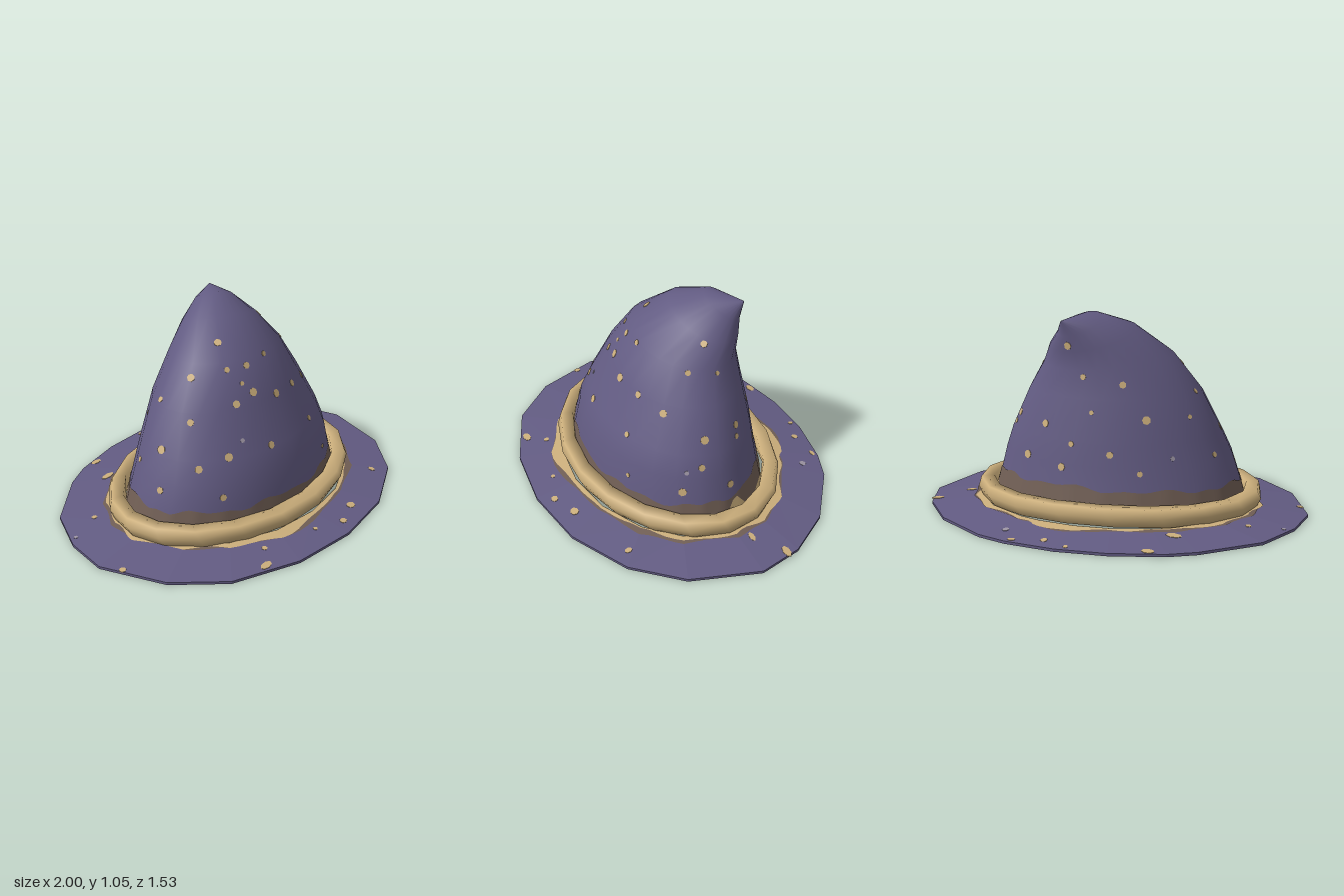
import * as THREE from 'three';

const mat = (name, color) => {
  const m = new THREE.MeshStandardMaterial({ color, side: THREE.DoubleSide });
  m.name = name;
  return m;
};

// Skin closed rows of points (each row is one loop of Vector3)
function loft(rows, flat) {
  const n = rows[0].length, index = [];
  for (let i = 0; i < rows.length - 1; i++) {
    for (let j = 0; j < n; j++) {
      const a = i * n + j, b = i * n + (j + 1) % n;
      index.push(a, a + n, b, b, a + n, b + n);
    }
  }
  let g = new THREE.BufferGeometry().setFromPoints(rows.flat());
  g.setIndex(index);
  if (flat) g = g.toNonIndexed();
  g.computeVertexNormals();
  return g;
}

const loop = (n, fn) => Array.from({ length: n }, (_, j) => fn(j, j / n * Math.PI * 2));

// Crown sections: y, centre x, centre z, radius x, radius z, lean towards the tip
const SECTIONS = [
  [0.07, -0.01, 0.015, 0.665, 0.455, 0],
  [0.2, -0.01, 0.015, 0.632, 0.43, 0],
  [0.32, -0.005, 0.015, 0.597, 0.41, 0],
  [0.43, 0, 0.002, 0.553, 0.381, 0],
  [0.64, 0, -0.03, 0.453, 0.31, 0],
  [0.81, 0.03, -0.065, 0.335, 0.25, 0.12],
  [0.93, 0.09, -0.153, 0.222, 0.162, 0.35],
  [1.0, 0.14, -0.23, 0.11, 0.085, 0.6],
  [1.025, 0.21, -0.316, 0.001, 0.001, 0],
];
const SEGS = 24;
function crownPoint(i, a) {
  const [y, cx, cz, rx, rz, lean] = SECTIONS[i];
  const dx = rx * Math.cos(a), dz = rz * Math.sin(a);
  return new THREE.Vector3(cx + dx, y - lean * (0.53 * dx - 0.85 * dz), cz + dz);
}

// Brim outline (x, z) around an oval opening
const OUTLINE = [
  [1, 0], [0.88, 0.35], [0.67, 0.57], [0.35, 0.72], [0, 0.765], [-0.35, 0.72], [-0.69, 0.57],
  [-0.89, 0.34], [-1, 0], [-0.95, -0.23], [-0.82, -0.46], [-0.54, -0.66], [-0.4, -0.72],
  [-0.13, -0.77], [0.13, -0.77], [0.39, -0.72], [0.54, -0.66], [0.8, -0.46], [0.95, -0.23],
];
// s = 0 at the opening, 1 at the outer edge
function brimPoint(k, s, yIn, yOut) {
  const corner = (i) => {
    const [x, z] = OUTLINE[i % OUTLINE.length];
    const a = Math.atan2(z / 0.77, x);
    return new THREE.Vector3(
      THREE.MathUtils.lerp(0.72 * Math.cos(a), x, s),
      THREE.MathUtils.lerp(yIn, yOut, s),
      THREE.MathUtils.lerp(0.54 * Math.sin(a), z, s));
  };
  const i = Math.floor(k);
  return corner(i).lerp(corner(i + 1), k - i);
}

export function createModel() {
  const purple = mat('purple cloth', 0x625b82);
  const gold = mat('gold', 0xcbae7b);
  const brown = mat('brown stain', 0x705e54);
  const pale = mat('pale fleck', 0x9c94a2);
  const hat = new THREE.Group();
  hat.name = 'hat';
  const add = (name, geometry, material) => {
    const m = new THREE.Mesh(geometry, material);
    m.name = name;
    hat.add(m);
    return m;
  };

  // Crown, leaning back to an off-centre tip
  const crown = add('crown', loft(SECTIONS.map((_, i) => loop(SEGS, (j, a) => crownPoint(i, a)))), purple);

  // Ragged stain around the foot of the crown, outside and inside
  const ragged = (a) => 0.5 + 0.5 * Math.sin(5 * a + 1) * Math.sin(3 * a) + 0.2 * Math.sin(17 * a);
  const stainPoint = (j, t, grow) => {
    const a0 = Math.floor(j / 4) / SEGS * Math.PI * 2, a1 = a0 + Math.PI * 2 / SEGS;
    const i = t < 1 ? 0 : 1;
    const edge = (n) => crownPoint(n, a0).lerp(crownPoint(n, a1), (j % 4) / 4);
    const p = edge(i).lerp(edge(i + 1), t - i);
    p.x *= grow;
    p.z *= grow;
    return p;
  };
  const stainTop = (a) => 0.74 + 0.28 * ragged(a) + 0.22 * Math.max(0, -Math.sin(a));
  const goldTop = (a) => 0.15 + 0.2 * ragged(a + 1) + 0.6 * Math.exp(-80 * (a - 6.1) ** 2);
  for (const [name, grow] of [['outer', 1.006], ['inner', 0.994]]) {
    const rows = [() => 0, () => 0.4, (a) => Math.min(1, stainTop(a)), stainTop];
    add(name + 'CrownStain', loft(rows.map((f) => loop(SEGS * 4, (j, a) => stainPoint(j, f(a), grow)))), brown);
    add(name + 'CrownGoldEdge', loft([() => 0, goldTop].map((f) =>
      loop(SEGS * 4, (j, a) => stainPoint(j, f(a), grow + (grow - 1) * 0.5)))), gold);
  }

  // Brim: thin ring, slightly raised at the opening
  const K = OUTLINE.length;
  const brimRows = [[0, 0.022, 0], [1, 0, 0.006], [1, 0, 0.02], [0, 0.055, 0], [0, 0.022, 0]];
  const brim = add('brim', loft(brimRows.map(([s, yi, yo]) =>
    loop(K, (j) => brimPoint(j, s, yi, yo))), true), purple);

  // Ragged gold and brown edging around the opening, above and below
  const trim = (name, from, to, yIn, yOut, material) => add(name, loft([from, to].map((f) =>
    loop(K * 5, (j, a) => brimPoint(j / 5, f(a), yIn, yOut)))), material);
  const goldEdge = (a) => 0.03 + Math.max(0, 0.13 * ragged(a)) + 0.2 * Math.abs(Math.sin(a)) ** 40;
  const brownEdge = (a) => goldEdge(a) + Math.max(0, 0.16 * ragged(a + 2) - 0.03);
  trim('brimGoldTop', () => 0, goldEdge, 0.058, 0.023, gold);
  trim('brimStainTop', goldEdge, brownEdge, 0.058, 0.023, brown);
  trim('brimGoldBottom', () => 0, goldEdge, 0.019, 0.003, gold);
  trim('brimStainBottom', goldEdge, brownEdge, 0.019, 0.003, brown);
  add('openingEdge', loft([0.019, 0.058].map((y) =>
    loop(K, (j) => brimPoint(j, -0.004, y, y)))), gold);

  // Broad band resting around the crown
  const profile = [[-0.03, 0.06], [0.025, 0.052], [0.047, 0.1], [0.032, 0.145], [-0.035, 0.145], [-0.03, 0.06]];
  add('band', loft(profile.map(([r, y], i) => loop(18, (j, a) => {
    const b = a + (i % 5) * 0.04;
    return new THREE.Vector3(-0.008 + (0.708 + r) * Math.cos(b), y + 0.004 * Math.sin(3 * b),
      0.005 + (0.495 + r) * Math.sin(b));
  }))), gold);

  // Painted flecks, dropped onto a surface along a direction
  const ray = new THREE.Raycaster();
  const up = new THREE.Vector3(0, 1, 0);
  const fleck = (target, origin, dir, i, stretch = 1) => {
    ray.set(origin, dir);
    const hit = ray.intersectObject(target)[0];
    if (!hit) return;
    const r = [0.02, 0.015, 0.018, 0.012, 0.022][i % 5];
    const m = add('fleck', new THREE.CylinderGeometry(r, r, 0.004, 7), i % 9 === 8 ? pale : gold);
    m.position.copy(hit.point);
    m.quaternion.setFromUnitVectors(up, hit.face.normal.clone().normalize());
    m.scale.x = stretch;
  };
  const V = (x, y, z) => new THREE.Vector3(x, y, z);
  const front = [[-0.15, 0.91], [-0.2, 0.81], [-0.1, 0.81], [-0.16, 0.74], [-0.12, 0.69], [-0.23, 0.66], [0.03, 0.83],
    [0.18, 0.63], [-0.27, 0.5], [-0.36, 0.44], [-0.13, 0.44], [0.22, 0.44], [-0.44, 0.26], [0.3, 0.25], [0.02, 0.64]];
  const side = [[0.2, 0.6], [0.06, 0.79], [-0.05, 0.9], [-0.08, 0.77], [0.06, 0.5], [-0.13, 0.51], [-0.12, 0.46],
    [0.1, 0.375], [0.17, 0.35], [0.2, 0.25], [-0.04, 0.25]];
  const back = [[0.18, 0.9], [0.1, 0.75], [-0.1, 0.72], [0.05, 0.58], [-0.22, 0.55], [0.3, 0.5],
    [0.15, 0.42], [-0.05, 0.38], [-0.35, 0.36], [0.4, 0.33], [0.2, 0.3], [-0.2, 0.29]];
  const rightSide = [[0.02, 0.78], [-0.1, 0.66], [0.1, 0.6], [-0.2, 0.55], [0, 0.46], [0.2, 0.4],
    [-0.15, 0.35], [0.05, 0.28]];
  front.forEach(([x, y], i) => fleck(crown, V(x, y, 2), V(0, 0, -1), i));
  back.forEach(([x, y], i) => fleck(crown, V(x, y, -2), V(0, 0, 1), i));
  side.forEach(([z, y], i) => fleck(crown, V(2, y, z), V(-1, 0, 0), i));
  rightSide.forEach(([z, y], i) => fleck(crown, V(-2, y, z), V(1, 0, 0), i));

  // Brim flecks: x, z, stretch
  const onBrim = [[-0.31, -0.71, 1.6], [0.08, -0.74, 0.8], [0.2, -0.69, 1], [0.36, -0.7, 1.8], [-0.4, -0.53, 1.8],
    [0.94, -0.17, 1.8], [0.79, -0.06, 2], [-0.95, 0.11, 1], [-0.9, -0.26, 0.9], [-0.84, 0.44, 1], [-0.49, 0.62, 1.8],
    [-0.4, 0.54, 1], [0.06, 0.69, 1.2], [-0.1, 0.63, 1], [0.2, 0.64, 1.2], [0.58, 0.52, 0.8], [-0.73, -0.3, 1],
    [0.42, -0.6, 1]];
  onBrim.forEach(([x, z, s], i) => fleck(brim, V(x, 2, z), V(0, -1, 0), i, s));

  return hat;
}
